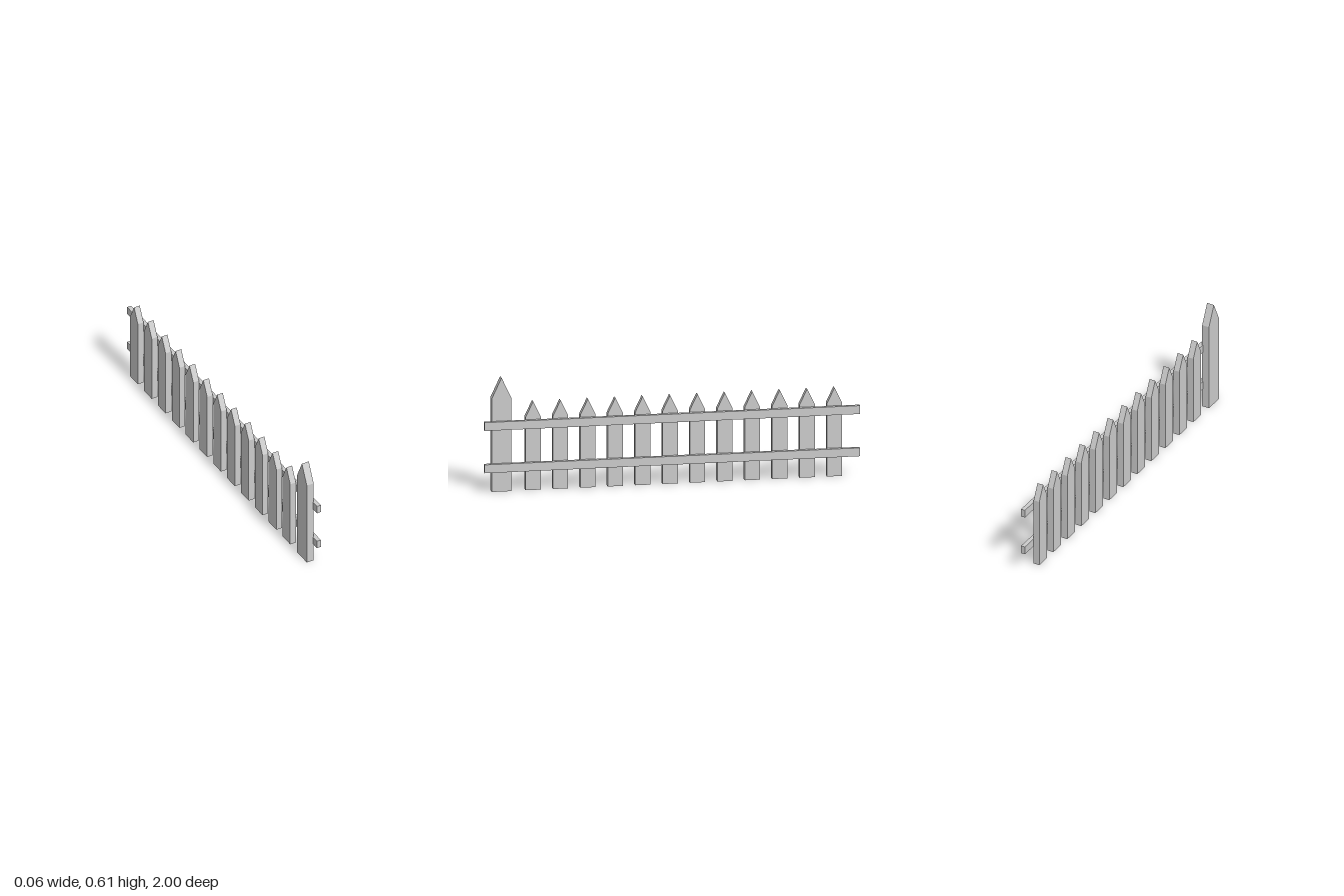
import * as THREE from 'three';

const material = new THREE.MeshStandardMaterial({ color: 0xcccccc, flatShading: true });

// Pointed board standing on the ground, wide along z and thin along x
function pointedBoard(name, width, shoulder, height, xMin, xMax, z) {
  const w = width / 2;
  const shape = new THREE.Shape([
    new THREE.Vector2(-w, 0),
    new THREE.Vector2(w, 0),
    new THREE.Vector2(w, shoulder),
    new THREE.Vector2(0, height),
    new THREE.Vector2(-w, shoulder),
  ]);
  const geometry = new THREE.ExtrudeGeometry(shape, { depth: xMax - xMin, bevelEnabled: false });
  geometry.rotateY(Math.PI / 2);
  const mesh = new THREE.Mesh(geometry, material);
  mesh.name = name;
  mesh.position.set(xMin, 0, z);
  return mesh;
}

export function createModel() {
  const fence = new THREE.Group();
  fence.name = 'picketFence';

  // Tall end post
  fence.add(pointedBoard('endPost', 0.104, 0.503, 0.613, -0.03, 0.011, 0.906));

  // Row of evenly spaced pickets
  const count = 12, first = 0.737, last = -0.868;
  for (let i = 0; i < count; i++) {
    const z = first + ((last - first) * i) / (count - 1);
    fence.add(pointedBoard(`picket${i + 1}`, 0.081, 0.393, 0.477, -0.027, 0.007, z));
  }

  // Two horizontal rails
  for (const [name, y] of [['lowerRail', 0.13], ['upperRail', 0.358]]) {
    const rail = new THREE.Mesh(new THREE.BoxGeometry(0.023, 0.045, 2), material);
    rail.name = name;
    rail.position.set(0.0185, y, 0);
    fence.add(rail);
  }

  return fence;
}
